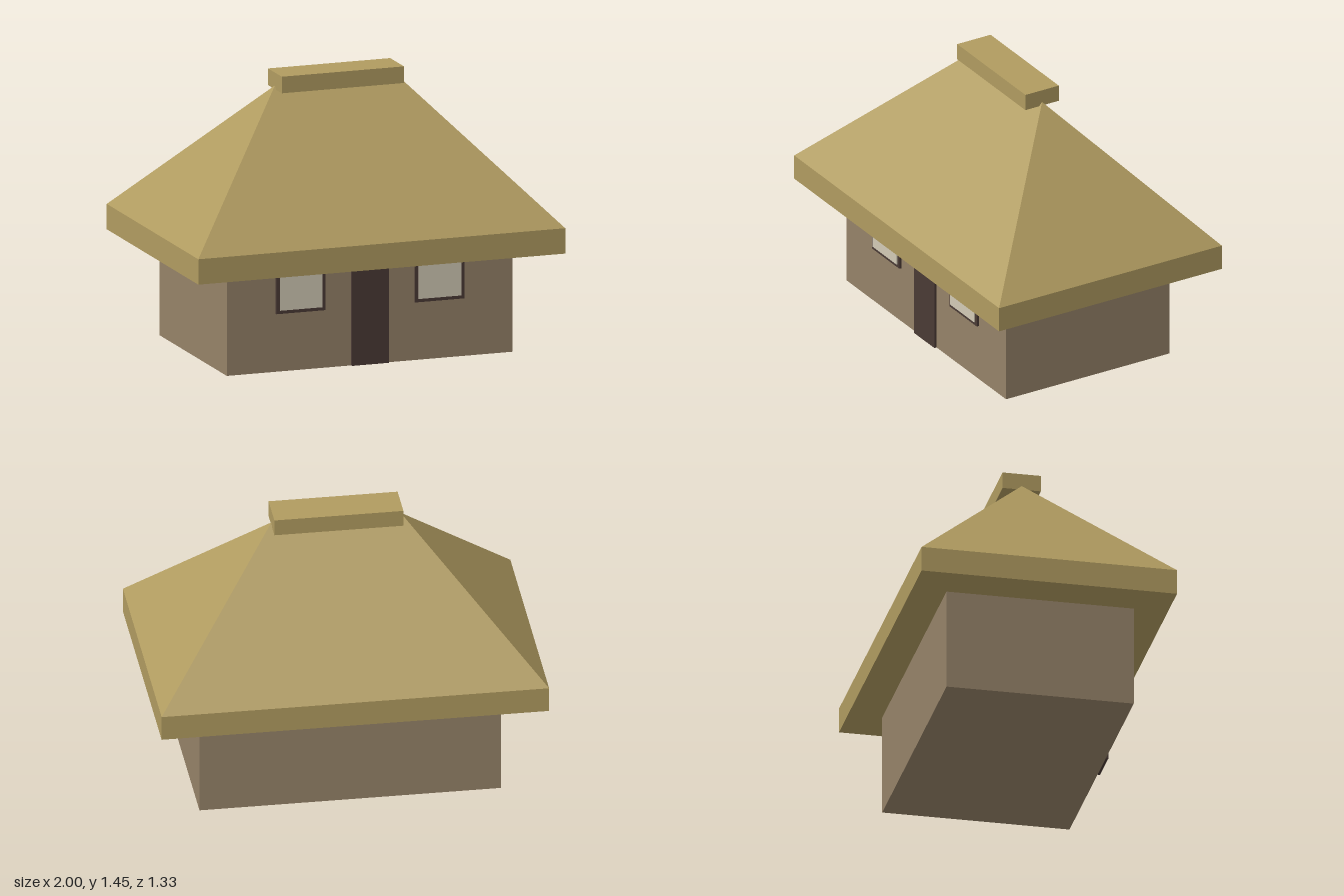
import * as THREE from 'three';

const mat = (name, color) => {
  const m = new THREE.MeshStandardMaterial({ color });
  m.name = name;
  return m;
};

// Hipped roof: rectangular base rising to a ridge along x
function hipGeometry(halfX, halfZ, halfRidge, y0, y1) {
  const a = [-halfX, y0, halfZ], b = [halfX, y0, halfZ];
  const c = [halfX, y0, -halfZ], d = [-halfX, y0, -halfZ];
  const l = [-halfRidge, y1, 0], r = [halfRidge, y1, 0];
  const faces = [
    a, b, r, a, r, l, // front slope
    c, d, l, c, l, r, // back slope
    b, c, r, // left hip
    d, a, l, // right hip
  ];
  const g = new THREE.BufferGeometry();
  g.setAttribute('position', new THREE.Float32BufferAttribute(faces.flat(), 3));
  g.computeVertexNormals();
  return g;
}

export function createModel() {
  const model = new THREE.Group();
  model.name = 'cottage';

  const thatch = mat('thatch', 0xb09b60);
  const clay = mat('clay wall', 0x958268);
  const darkWood = mat('dark wood', 0x4a3a35);
  const glass = mat('window pane', 0xd2cab6);

  // Box given by its extents along each axis
  const box = (name, material, [x0, x1], [y0, y1], [z0, z1], parent = model) => {
    const m = new THREE.Mesh(new THREE.BoxGeometry(x1 - x0, y1 - y0, z1 - z0), material);
    m.name = name;
    m.position.set((x0 + x1) / 2, (y0 + y1) / 2, (z0 + z1) / 2);
    parent.add(m);
    return m;
  };

  // Walls
  box('walls', clay, [-0.778, 0.778], [0, 0.535], [-0.489, 0.489]);

  // Roof: eave slab, hipped slopes and ridge cap
  box('eaves', thatch, [-1, 1], [0.535, 0.668], [-0.667, 0.667]);
  const roof = new THREE.Mesh(hipGeometry(1, 0.667, 0.333, 0.668, 1.38), thatch);
  roof.name = 'roof';
  model.add(roof);
  box('ridgeCap', thatch, [-0.333, 0.333], [1.36, 1.447], [-0.1, 0.1]);

  // Door
  box('door', darkWood, [-0.1, 0.1], [0, 0.513], [0.485, 0.502]);

  // Windows, one each side of the door
  for (const side of [-1, 1]) {
    const win = new THREE.Group();
    win.name = side > 0 ? 'leftWindow' : 'rightWindow';
    win.position.x = side * 0.378;
    model.add(win);
    box('frame', darkWood, [-0.134, 0.134], [0.304, 0.54], [0.485, 0.501], win);
    box('pane', glass, [-0.116, 0.116], [0.322, 0.524], [0.499, 0.507], win);
  }

  return model;
}
